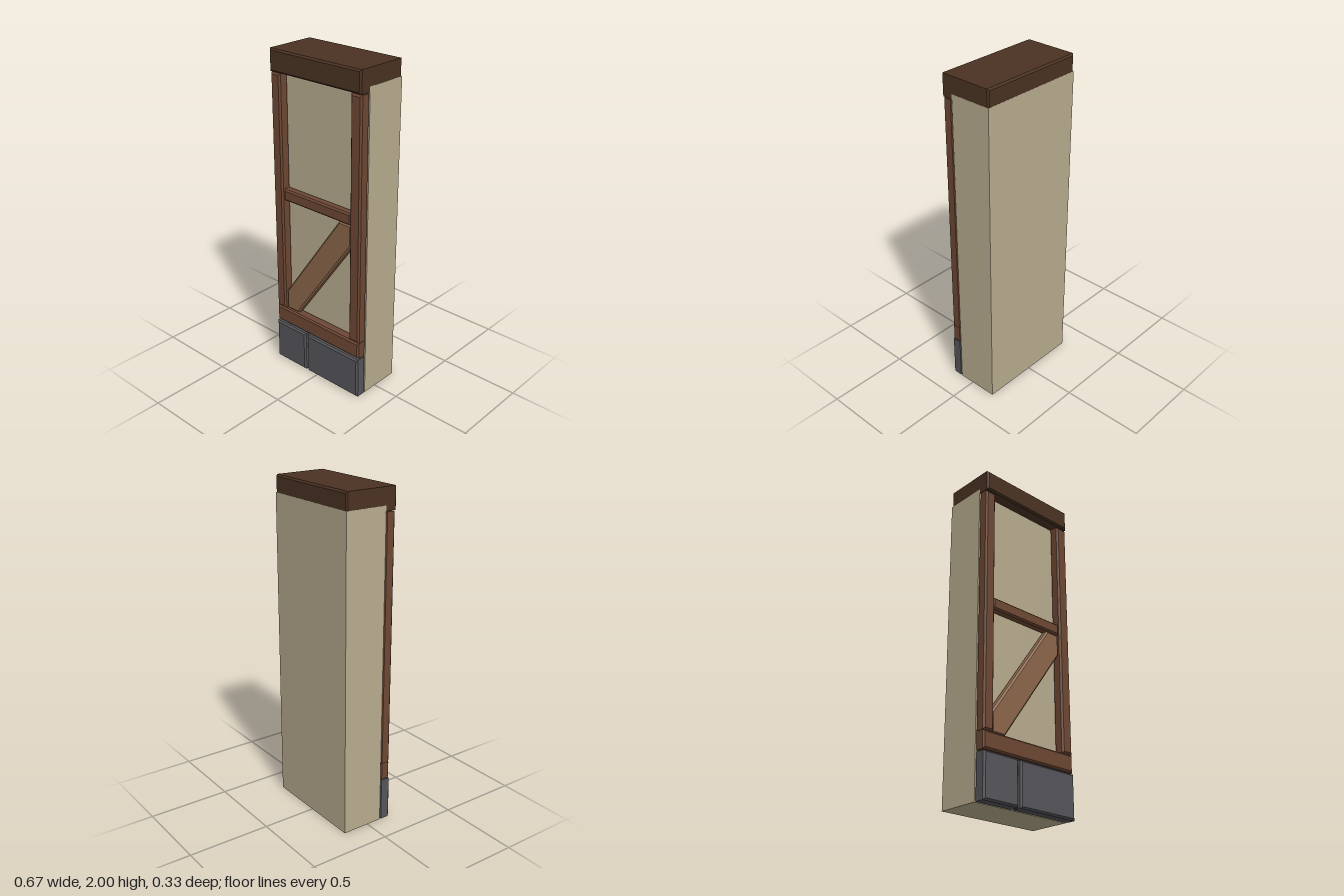
import * as THREE from 'three';

const material = (name, color) => {
  const m = new THREE.MeshStandardMaterial({ color });
  m.name = name;
  return m;
};

export function createModel() {
  const group = new THREE.Group();
  const plaster = material('plaster', 0xb7ab8e);
  const darkWood = material('dark wood', 0x4a3222);
  const wood = material('wood', 0x6d4733);
  const lightWood = material('light wood', 0x8b6548);
  const stone = material('stone', 0x54545a);

  // Outline extruded from z0 to z1, with chamfered front and back rims
  const slab = (name, points, z0, z1, mat, bevel = 0.01) => {
    const shape = new THREE.Shape(points.map(([x, y]) => new THREE.Vector2(x, y)));
    const geometry = new THREE.ExtrudeGeometry(shape, {
      depth: z1 - z0 - 2 * bevel,
      bevelEnabled: true,
      bevelThickness: bevel,
      bevelSize: bevel,
      bevelOffset: -bevel,
      bevelSegments: 1,
    });
    geometry.translate(0, 0, z0 + bevel);
    const mesh = new THREE.Mesh(geometry, mat);
    mesh.name = name;
    group.add(mesh);
  };
  const rect = (x0, x1, y0, y1) => [[x0, y0], [x1, y0], [x1, y1], [x0, y1]];

  // Plaster wall core
  const wall = new THREE.Mesh(new THREE.BoxGeometry(0.666, 1.9, 0.261), plaster);
  wall.name = 'wall';
  wall.position.set(0, 0.95, -0.0365);
  group.add(wall);

  // Top beam covering the full depth, a hair inside the wall faces
  slab('topBeam', rect(-0.3325, 0.3325, 1.87, 2), -0.1665, 0.167, darkWood);

  // Timber frame
  const back = 0.094;
  slab('rightPost', rect(-0.333, -0.262, 0.375, 1.865), back, 0.16, wood);
  slab('leftPost', rect(0.257, 0.333, 0.375, 1.865), back, 0.16, wood);
  slab('sill', rect(-0.333, 0.333, 0.27, 0.373), back, 0.16, wood);
  slab('middleRail', rect(-0.262, 0.257, 1.105, 1.177), back, 0.15, wood);

  // Diagonal brace, cut to fit between posts, sill and rail
  slab('brace', [
    [-0.262, 0.373], [-0.168, 0.373], [0.257, 0.975],
    [0.257, 1.105], [0.165, 1.105], [-0.262, 0.495],
  ], back, 0.145, lightWood);

  // Foundation stones
  slab('rightStone', rect(-0.333, -0.09, 0, 0.262), back, 0.167, stone);
  slab('leftStone', rect(-0.075, 0.333, 0, 0.262), back, 0.167, stone);

  return group;
}
